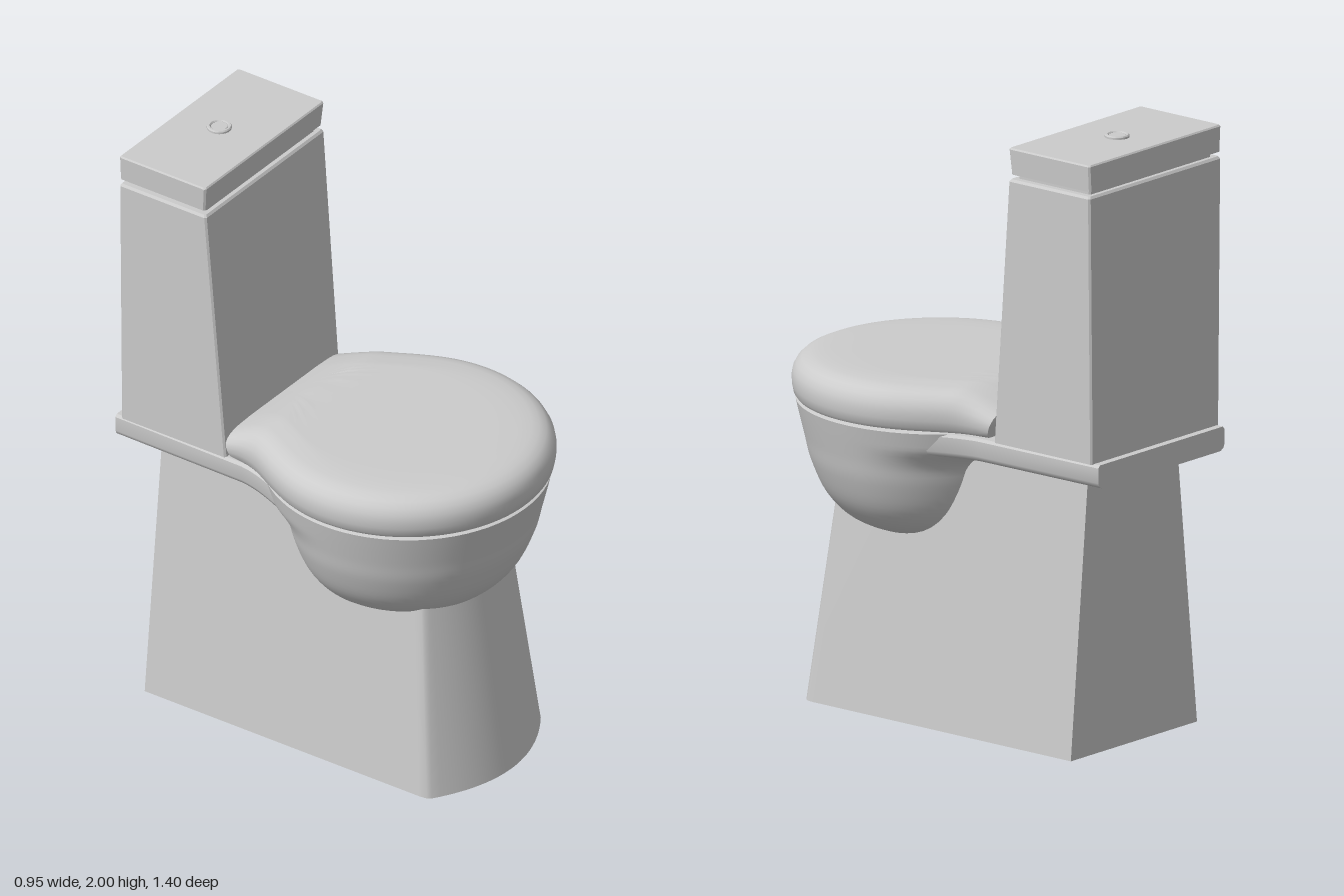
import * as THREE from 'three';
import { toCreasedNormals } from 'three/addons/utils/BufferGeometryUtils.js';

const material = new THREE.MeshStandardMaterial({ color: 0xcccccc });

function addMesh(parent, name, geometry) {
  const mesh = new THREE.Mesh(geometry, material);
  mesh.name = name;
  parent.add(mesh);
  return mesh;
}

// Skin a stack of closed loops of [x, y, z], listed bottom to top
function loft(rings, crease = 0.6) {
  const n = rings[0].length;
  const index = [];
  for (let i = 0; i < rings.length - 1; i++) {
    for (let j = 0; j < n; j++) {
      const k = (j + 1) % n;
      const a = i * n + j, b = i * n + k, c = a + n, d = b + n;
      index.push(a, b, d, a, d, c);
    }
  }
  const geometry = new THREE.BufferGeometry();
  geometry.setAttribute('position', new THREE.Float32BufferAttribute(rings.flat(2), 3));
  geometry.setIndex(index);
  return toCreasedNormals(geometry, crease);
}

// Loft closed at both ends onto the points (0, z)
function solid(rings, z, crease) {
  const cap = (ring) => ring.map((p) => [0, p[1], z]);
  return loft([cap(rings[0]), ...rings, cap(rings[rings.length - 1])], crease);
}

// Mirror a half outline (front centre to back corner) into a closed loop
const mirrored = (half) => [...half, ...half.slice(1).reverse().map(([x, z]) => [-x, z])];

// Rectangular loop with small chamfered corners
function rectangle(y, w, back, front, c = 0.006) {
  return mirrored([[0, front], [w - c, front], [w, front - c], [w, back + c], [w - c, back]])
    .map(([x, z]) => [x, y, z]);
}

// Round seat outline narrowing to a neck, inset along its normals
function seatOutline(radius, neck, back, inset) {
  const half = [];
  const end = 1.955;
  for (let i = 0; i <= 36; i++) {
    const a = (end * i) / 36;
    half.push([radius * Math.sin(a), 0.225 + radius * Math.cos(a)]);
  }
  const [px, pz] = half[36];
  const curve = new THREE.CubicBezierCurve(
    new THREE.Vector2(px, pz),
    new THREE.Vector2(px + 0.13 * Math.cos(end), pz - 0.13 * Math.sin(end)),
    new THREE.Vector2(neck + 0.016, -0.12),
    new THREE.Vector2(neck + 0.006, -0.2));
  curve.getPoints(10).slice(1).forEach((p) => half.push([p.x, p.y]));
  half.push([neck, back]);
  const last = half.length - 1;
  return mirrored(half.map(([x, z], i) => {
    if (i === 0) return [0, z - inset];
    if (i === last) return [x - inset, z];
    const dx = half[i + 1][0] - half[i - 1][0], dz = half[i + 1][1] - half[i - 1][1];
    const l = Math.hypot(dx, dz);
    return [x + (inset * dz) / l, z - (inset * dx) / l];
  }));
}

function pedestal() {
  const ring = (y, w, back, corner, front) => {
    const half = [];
    for (let i = 0; i <= 12; i++) {
      const t = (0.96 * i) / 12;
      half.push([w * t, corner + (front - corner) * (1 - t * t)]);
    }
    half.push([w * 0.99, corner - 0.004], [w, corner - 0.03], [w, back]);
    return mirrored(half).map(([x, z]) => [x, y, z]);
  };
  return solid([ring(0, 0.31, -0.585, 0.525, 0.635), ring(0.93, 0.219, -0.58, 0.43, 0.49)], 0);
}

// Round bowl, flattened behind and flaring out again under the shelf
function bowl() {
  const profile = new THREE.SplineCurve([
    [0.001, 0.56], [0.1, 0.566], [0.2, 0.585], [0.3, 0.627], [0.37, 0.7],
    [0.415, 0.8], [0.435, 0.88], [0.452, 0.95], [0.463, 0.998],
  ].map(([r, y]) => new THREE.Vector2(r, y))).getPoints(40);
  profile.push(new THREE.Vector2(0.455, 1.001), new THREE.Vector2(0, 1.001));
  const geometry = new THREE.LatheGeometry(profile, 72);
  const p = geometry.attributes.position;
  for (let i = 0; i < p.count; i++) {
    const t = THREE.MathUtils.clamp((p.getY(i) - 0.84) / 0.09, 0, 1);
    const z = p.getZ(i);
    p.setZ(i, 0.225 + (z < 0 ? z * (0.82 + 0.18 * t * t) : z));
  }
  geometry.deleteAttribute('normal');
  return toCreasedNormals(geometry, 0.6);
}

function shelf() {
  const rings = [[0.02, 0.92], [0.006, 0.927], [0, 0.94], [0, 0.99], [0.008, 0.999]]
    .map(([inset, y]) => seatOutline(0.44, 0.31, -0.7, inset).map(([x, z]) => [x, y, z]));
  return solid(rings, -0.08, 0.7);
}

// Cushioned lid whose top slopes down towards the hinge edge
function seatLid() {
  const back = -0.26;
  const place = ([x, z], y) => {
    const slope = Math.max(0, (-0.11 - z) / 0.15);
    const drop = 0.055 * Math.pow(slope, 1.4) * Math.max(0, (y - 1.01) / 0.14);
    const lean = z < back + 0.001 ? 0.02 * Math.max(0, 1 - (y - 1) / 0.1) : 0;
    return [x, y - drop, z + lean];
  };
  const levels = [
    [0.03, 1.008], [0.014, 1.009], [0.006, 1.02], [0.001, 1.045], [0, 1.07], [0.004, 1.092],
    [0.015, 1.113], [0.032, 1.129], [0.055, 1.139], [0.08, 1.144], [0.12, 1.147],
  ];
  const rings = levels.map(([inset, y]) =>
    seatOutline(0.475, 0.325, back, inset).map((p) => place(p, y)));
  const inner = seatOutline(0.475, 0.325, back, 0.12);
  for (const s of [0.9, 0.8, 0.65, 0.5, 0.35, 0.25, 0.15, 0.08, 0]) {
    rings.push(inner.map(([x, z]) => place([x * s, back + (z - back) * s], 1.149)));
  }
  const floor = rings[0].map((p) => [0, p[1], -0.05]);
  return loft([floor, ...rings], 0.7);
}

export function createModel() {
  const group = new THREE.Group();
  group.name = 'toilet';
  addMesh(group, 'pedestal', pedestal());
  addMesh(group, 'bowl', bowl());
  addMesh(group, 'shelf', shelf());
  addMesh(group, 'seatLid', seatLid());

  // Cistern: tapered tank, recessed gap and lid
  const cistern = new THREE.Group();
  cistern.name = 'cistern';
  group.add(cistern);
  addMesh(cistern, 'tank', solid([
    rectangle(0.998, 0.314, -0.675, -0.265), rectangle(1.878, 0.324, -0.675, -0.335),
    rectangle(1.886, 0.318, -0.669, -0.341)], -0.5, 0.3));
  addMesh(cistern, 'lidGap', solid([
    rectangle(1.88, 0.298, -0.655, -0.355), rectangle(1.91, 0.298, -0.655, -0.355)], -0.5, 0.3));
  addMesh(cistern, 'tankLid', solid([
    rectangle(1.902, 0.32, -0.675, -0.343), rectangle(1.985, 0.325, -0.675, -0.336),
    rectangle(1.99, 0.321, -0.671, -0.34)], -0.5, 0.3));

  // Flush button inside a raised ring
  const ring = new THREE.LatheGeometry([[0.04, 1.985], [0.04, 1.996], [0.037, 2], [0.031, 2],
    [0.028, 1.996], [0.028, 1.985]].map(([r, y]) => new THREE.Vector2(r, y)), 40);
  addMesh(cistern, 'buttonRing', toCreasedNormals(ring, 0.5)).position.z = -0.515;
  addMesh(cistern, 'flushButton', new THREE.CylinderGeometry(0.026, 0.026, 0.015, 40))
    .position.set(0, 1.989, -0.515);
  return group;
}
